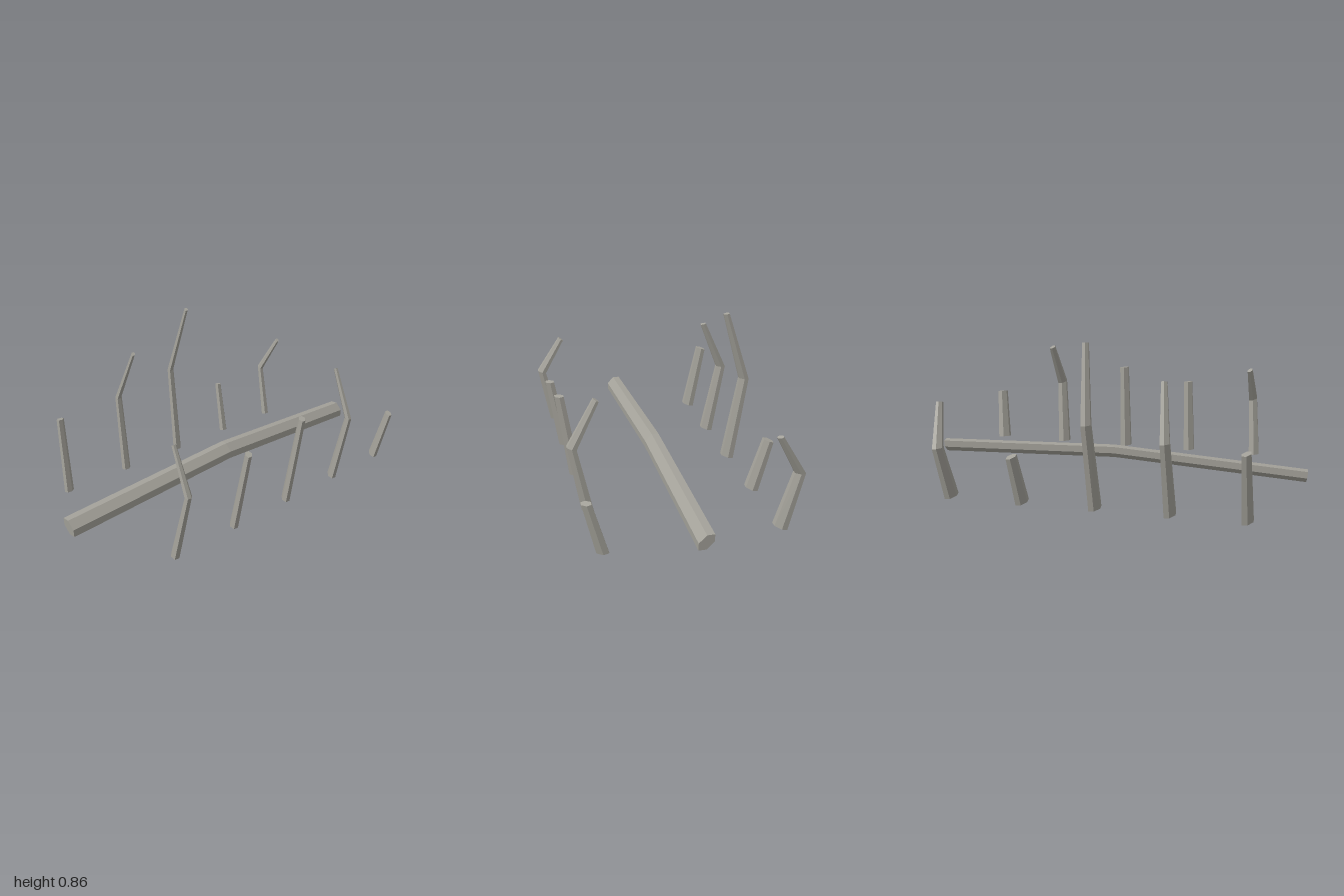
import * as THREE from 'three';

// Skewed six-sided section, counter-clockwise around the path direction
const SECTION = [[1, 0], [0, 1], [-1, 1], [-1, 0], [0, -1], [1, -1]];

// Sweeps the section along points; radii gives the half-width at each point
function loft(points, radii, ref) {
  const path = points.map((p) => new THREE.Vector3(...p));
  const dir = (i) => path[i + 1].clone().sub(path[i]).normalize();
  const last = path.length - 1;
  const rings = path.map((p, i) => {
    const t = dir(Math.min(i, last - 1));
    if (i > 0 && i < last) t.add(dir(i - 1)).normalize();
    const a = ref.clone().addScaledVector(t, -ref.dot(t)).normalize();
    const b = t.clone().cross(a);
    return SECTION.map(([u, v]) => p.clone()
      .addScaledVector(a, u * radii[i]).addScaledVector(b, v * radii[i]));
  });

  const corners = [];
  for (let k = 0; k < 6; k++) {
    const n = (k + 1) % 6;
    for (let i = 0; i < last; i++) {
      const r = rings[i], s = rings[i + 1];
      corners.push(r[k], r[n], s[n], r[k], s[n], s[k]);
    }
    // end caps
    corners.push(path[0], rings[0][n], rings[0][k]);
    corners.push(path[last], rings[last][k], rings[last][n]);
  }
  const geometry = new THREE.BufferGeometry().setFromPoints(corners);
  geometry.computeVertexNormals(); // unshared corners give flat faces
  return geometry;
}

export function createModel() {
  const model = new THREE.Group();
  model.name = 'ribcage';
  const bone = new THREE.MeshStandardMaterial({ color: 0xa3a199 });
  bone.name = 'bone grey';

  const add = (name, geometry) => {
    const mesh = new THREE.Mesh(geometry, bone);
    mesh.name = name;
    model.add(mesh);
  };

  // Spine lying on the ground, slightly arched
  add('spine', loft([[-1, 0.085, 0], [0.03, 0.145, 0], [1, 0.108, 0]],
    [0.037, 0.037, 0.037], new THREE.Vector3(0, 1, 0)));

  // Ribs: x, then [knee height, tip height] for each side; no tip means broken off
  const ribs = [
    [-0.714, [0.325, 0.53], [0.39]],
    [-0.334, [0.405], [0.41, 0.68]],
    [0.045, [0.472], [0.477, 0.85]],
    [0.425, [0.36, 0.605], [0.285]],
    [0.806, [0.277], [0.3, 0.503]],
  ];
  const forward = new THREE.Vector3(0, 0, 1);
  for (const [x, front, back] of ribs) {
    for (const [name, side, [knee, tip]] of [['frontRib', 1, front], ['backRib', -1, back]]) {
      const points = [[x, 0.007, side * 0.428], [x + 0.023, knee, side * 0.498]];
      if (tip) points.push([x + 0.047, tip, side * 0.38]);
      add(name, loft(points, [0.028, 0.022, 0.0135], forward));
    }
  }
  return model;
}
